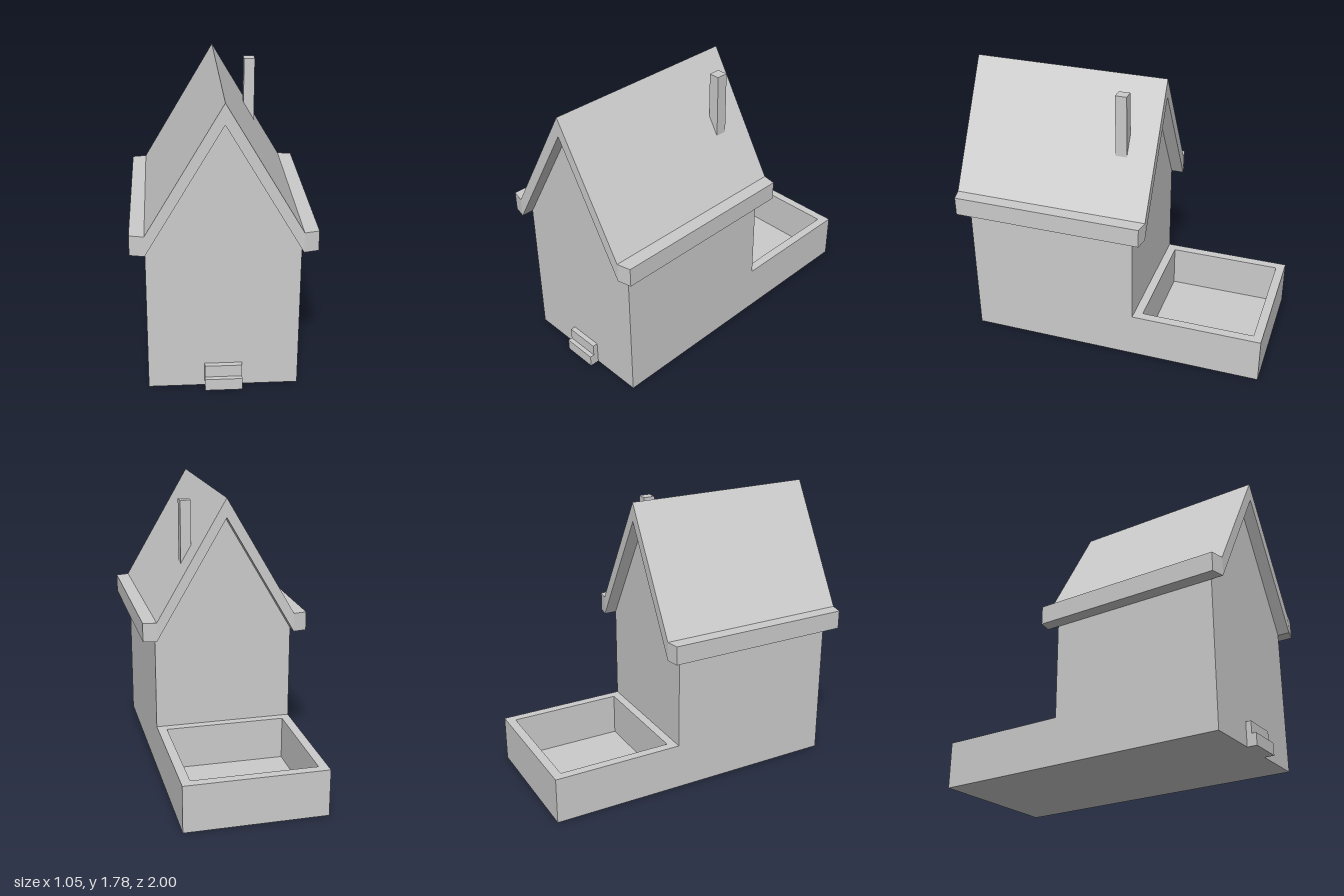
import * as THREE from 'three';

const material = new THREE.MeshStandardMaterial({ color: 0xcccccc, flatShading: true });

const shapeOf = (points) => new THREE.Shape(points.map(([a, b]) => new THREE.Vector2(a, b)));
const extrude = (shape, depth) => new THREE.ExtrudeGeometry(shape, { depth, bevelEnabled: false });

// Front outline (x, y) running from z0 to z1
const alongZ = (points, z0, z1) => extrude(shapeOf(points), z1 - z0).translate(0, 0, z0);

// Plan outline (x, z) rising from y0 to y1, with an optional hole
function alongY(points, y0, y1, hole) {
  const flip = (list) => list.map(([x, z]) => [x, -z]);
  const shape = shapeOf(flip(points));
  if (hole) shape.holes.push(shapeOf(flip(hole)));
  return extrude(shape, y1 - y0).rotateX(-Math.PI / 2).translate(0, y0, 0);
}

// Side outline (z, y) centred across x
const alongX = (points, width) =>
  extrude(shapeOf(points), width).rotateY(-Math.PI / 2).translate(width / 2, 0, 0);

// Counter-clockwise seen from above, so that holes face inwards
const rect = (x, z0, z1) => [[-x, z1], [x, z1], [x, z0], [-x, z0]];

export function createModel() {
  const model = new THREE.Group();
  model.name = 'house';
  const add = (name, geometry) => {
    const mesh = new THREE.Mesh(geometry, material);
    mesh.name = name;
    model.add(mesh);
  };

  const W = 0.442, EAVE = 0.905, EAVE_TOP = 1.025, PEAK = 1.66, RIDGE = 1.78;
  const BACK = -0.163, ROOF_BACK = -0.243;

  // Walls with gable ends
  add('walls', alongZ([[-W, 0], [W, 0], [W, EAVE], [0, PEAK], [-W, EAVE]], BACK, 0.925));

  // Steep roof overhanging front and back
  add('roof', alongZ([
    [-W, EAVE], [0, PEAK], [W, EAVE], [W, EAVE_TOP], [0, RIDGE], [-W, EAVE_TOP],
  ], ROOF_BACK, 1));

  // Flat eaves with tapered ends
  for (const [name, s] of [['leftEave', 1], ['rightEave', -1]]) {
    add(name, alongY([
      [s * W, ROOF_BACK], [s * 0.527, -0.228], [s * 0.527, 0.98], [s * W, 1],
    ], EAVE, EAVE_TOP));
  }

  // Chimney sunk into the left roof slope
  add('chimney', new THREE.BoxGeometry(0.067, 0.405, 0.072).translate(0.219, 1.5425, -0.031));

  // Front steps
  add('frontSteps', alongX([
    [0.925, 0], [0.985, 0], [0.985, 0.075], [0.957, 0.075], [0.957, 0.15], [0.925, 0.15],
  ], 0.22));

  // Walled yard behind the house
  const inside = rect(0.385, -0.943, -0.218);
  add('yardWalls', alongY(rect(W, -1, BACK), 0, 0.298, inside));
  add('yardFloor', alongY(inside, 0, 0.02));

  return model;
}
